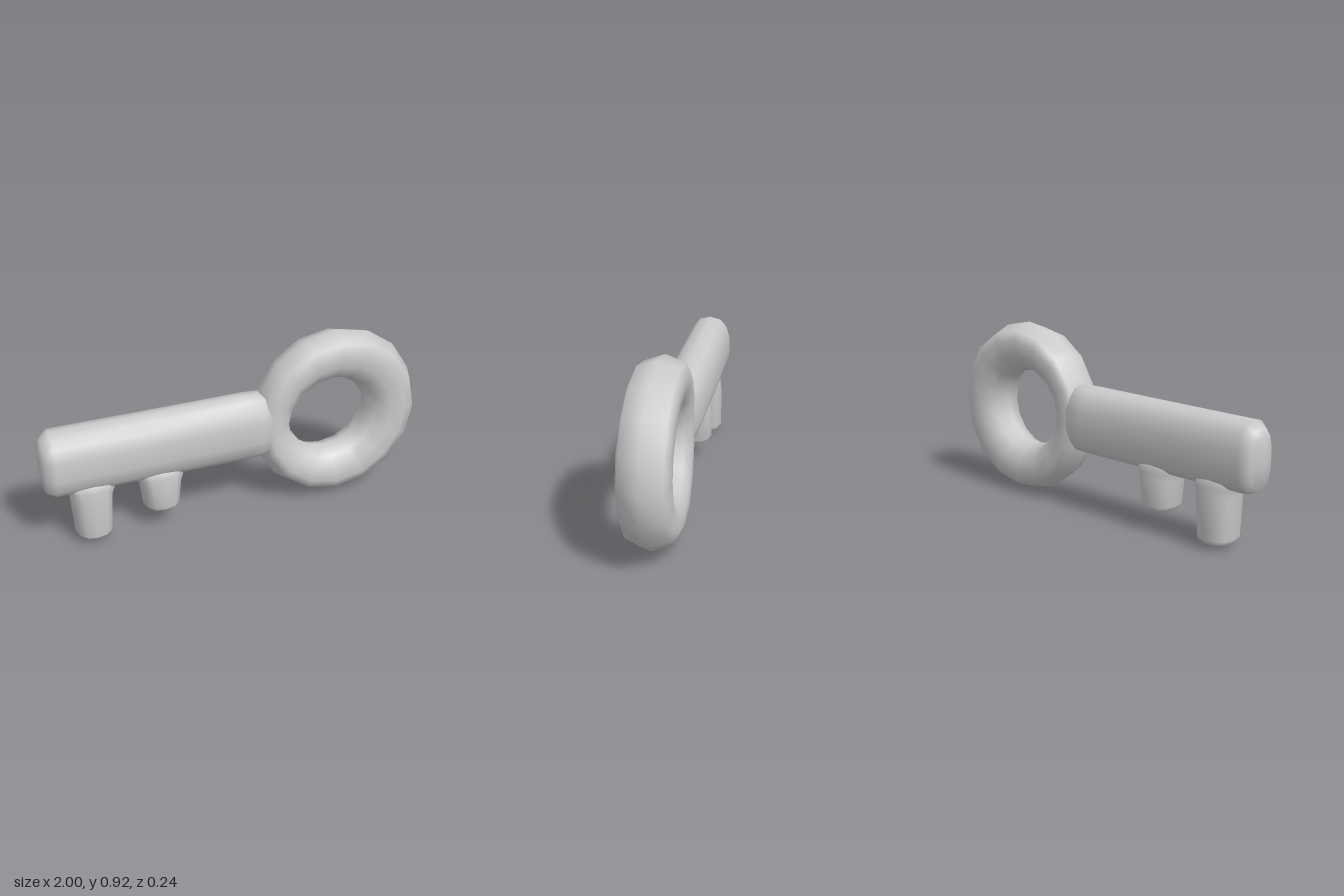
import * as THREE from 'three';

const material = new THREE.MeshStandardMaterial({ color: 0xcccccc });

// Skins a list of point rings; either closes into a loop or caps both ends.
function skin(name, rings, tips) {
  const n = rings[0].length, count = rings.length;
  const pos = rings.flat(2), index = [];
  const spans = tips ? count - 1 : count;
  for (let i = 0; i < spans; i++) {
    for (let j = 0; j < n; j++) {
      const k = (j + 1) % n, next = (i + 1) % count;
      const a = i * n + j, b = i * n + k, c = next * n + j, d = next * n + k;
      index.push(a, b, c, b, d, c);
    }
  }
  if (tips) {
    pos.push(...tips[0], ...tips[1]);
    const start = count * n, end = start + 1, last = (count - 1) * n;
    for (let j = 0; j < n; j++) {
      const k = (j + 1) % n;
      index.push(start, k, j, end, last + j, last + k);
    }
  }
  const geo = new THREE.BufferGeometry();
  geo.setAttribute('position', new THREE.Float32BufferAttribute(pos, 3));
  geo.setIndex(index);
  geo.computeVertexNormals();
  const mesh = new THREE.Mesh(geo, material);
  mesh.name = name;
  return mesh;
}

// Softly squared oval with half sizes u and v
function oval(u, v, sides, power = 0.82) {
  const soft = (t) => Math.sign(t) * Math.abs(t) ** power;
  return Array.from({ length: sides }, (_, i) => {
    const a = (i / sides) * Math.PI * 2;
    return [u * soft(Math.cos(a)), v * soft(Math.sin(a))];
  });
}

// Ring-shaped handle: its hole sits slightly off centre, and it thins at the shaft
function makeBow() {
  const cx = 0.545, cy = 0.463, segments = 16;
  // [fraction from outer to inner edge, z]
  const profile = [
    [0, 0], [0.15, -0.1], [0.34, -0.12], [0.62, -0.118], [0.88, -0.08],
    [1, 0], [0.88, 0.08], [0.62, 0.118], [0.34, 0.12], [0.15, 0.1],
  ];
  const rings = [];
  for (let i = 0; i < segments; i++) {
    const a = (i / segments) * Math.PI * 2, c = Math.cos(a), s = Math.sin(a);
    const outer = [cx + 0.452 * c, cy + 0.452 * s];
    const inner = [0.502 + 0.212 * c, cy + 0.2 * s];
    const thin = 1 - 0.17 * Math.max(0, -c) ** 2;
    rings.push(profile.map(([t, z]) => [
      outer[0] + (inner[0] - outer[0]) * t,
      outer[1] + (inner[1] - outer[1]) * t,
      z * thin,
    ]));
  }
  return skin('bow', rings);
}

// Shaft: stations of [x, centre y, half height, half depth]
function makeShaft() {
  const stations = [
    [-0.995, 0.49, 0.07, 0.035], [-0.98, 0.457, 0.143, 0.08], [-0.935, 0.462, 0.172, 0.115],
    [-0.5, 0.462, 0.173, 0.116], [0.05, 0.464, 0.175, 0.116], [0.11, 0.464, 0.175, 0.109],
    [0.21, 0.464, 0.17, 0.095],
  ];
  const rings = stations.map(([x, y, h, d]) =>
    oval(h, d, 14).map(([u, v]) => [x, y + u, v]));
  return skin('shaft', rings, [[-0.998, 0.49, 0], [0.23, 0.464, 0]]);
}

// Tooth hanging from the shaft, flared at its root and rounded at its tip
function makeTooth(name, x, bottom) {
  const stations = [
    [0.37, 0.14, 0.085], [0.295, 0.122, 0.09], [0.26, 0.107, 0.097],
    [bottom + 0.05, 0.092, 0.097], [bottom + 0.022, 0.068, 0.07],
  ];
  const rings = stations.map(([y, w, d]) =>
    oval(w, d, 12).map(([u, v]) => [x + u, y, v]));
  return skin(name, rings, [[x, 0.38, 0], [x, bottom, 0]]);
}

export function createModel() {
  const key = new THREE.Group();
  key.name = 'key';
  key.add(
    makeBow(),
    makeShaft(),
    makeTooth('longTooth', -0.755, 0.0),
    makeTooth('shortTooth', -0.402, 0.083),
  );
  return key;
}
